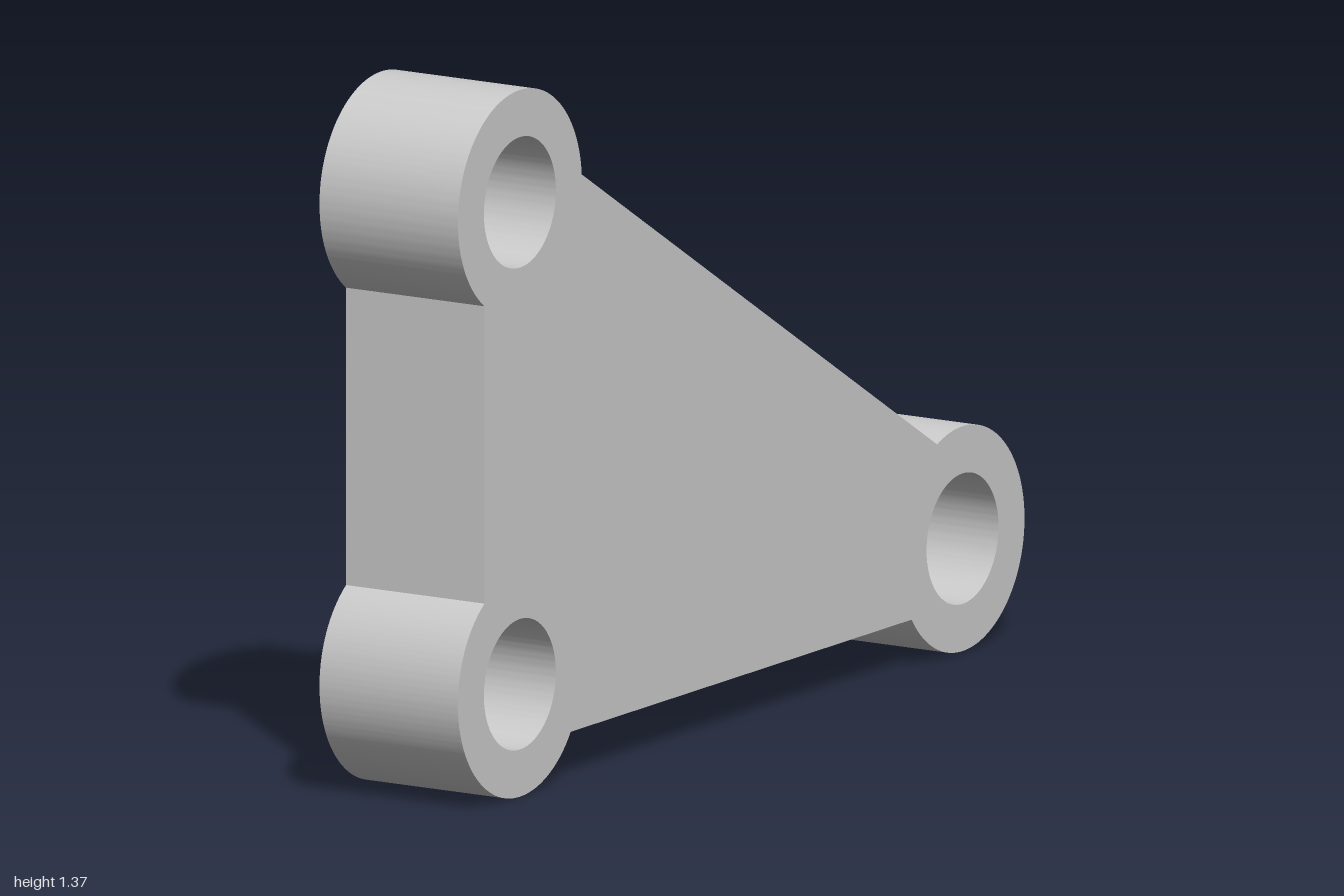
import * as THREE from 'three';
import { toCreasedNormals } from 'three/addons/utils/BufferGeometryUtils.js';

const BOSS_R = 0.21875;  // outer radius of each corner boss
const HOLE_R = 0.127;    // bore radius
const WEB = 0.125;       // distance of the straight edges from the boss centre lines
const THICKNESS = 0.3125;

export function createModel() {
  const group = new THREE.Group();

  // boss centres, counter-clockwise; the profile's horizontal axis becomes -z
  const centres = [[-0.78125, BOSS_R], [0.78125, BOSS_R], [-0.78125, BOSS_R + 0.9375]]
    .map(([u, y]) => new THREE.Vector2(u, y));
  const a = Math.asin(WEB / BOSS_R);
  const heading = (p, q) => Math.atan2(q.y - p.y, q.x - p.x);

  // outline: an arc round every boss, joined by the straight web edges
  const outline = new THREE.Shape();
  centres.forEach((c, i) => {
    const arriving = heading(centres[(i + 2) % 3], c);
    const leaving = heading(c, centres[(i + 1) % 3]);
    outline.absarc(c.x, c.y, BOSS_R, arriving + Math.PI + a, leaving - a, false);
    const bore = new THREE.Path();
    bore.absarc(c.x, c.y, HOLE_R, 0, Math.PI * 2, true);
    outline.holes.push(bore);
  });
  outline.closePath();

  // solid plate, turned so its thickness runs along x
  const extruded = new THREE.ExtrudeGeometry(outline, {
    depth: THICKNESS, bevelEnabled: false, curveSegments: 64,
  });
  extruded.translate(0, 0, -THICKNESS / 2).rotateY(Math.PI / 2);

  const plate = new THREE.Mesh(
    toCreasedNormals(extruded, 0.4),
    new THREE.MeshStandardMaterial({ color: 0xcccccc }),
  );
  plate.name = 'triangularLinkPlate';
  group.add(plate);
  return group;
}
